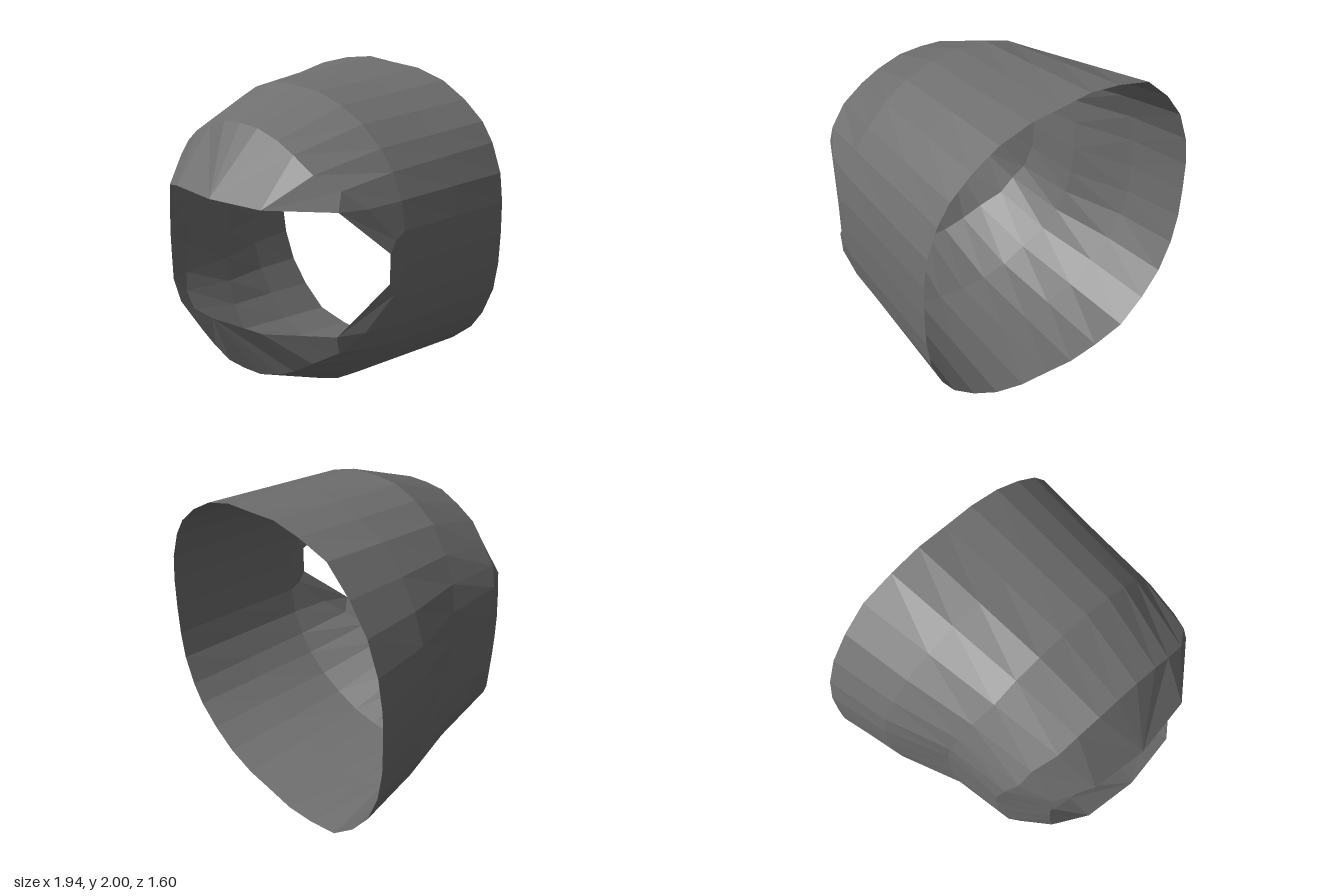
import * as THREE from 'three';

// Upper half of each cross-section as [x, y, z], from the model's right side over the top to its left.
// The lower half mirrors it about y = 1.
const backRim = [
  [-0.97, 1], [-0.965, 1.2], [-0.93, 1.4], [-0.85, 1.6], [-0.72, 1.77], [-0.55, 1.92],
  [-0.33, 1.975], [-0.12, 2], [0.08, 1.978], [0.28, 1.96], [0.48, 1.9], [0.65, 1.8],
  [0.79, 1.68], [0.87, 1.56], [0.94, 1.38], [0.965, 1.2], [0.97, 1],
].map(([x, y]) => [x, y, -0.8]);

const shoulder = [
  [-0.725, 1, -0.04], [-0.725, 1.2, -0.03], [-0.71, 1.37, 0], [-0.66, 1.52, 0.03], [-0.57, 1.66, 0.06],
  [-0.43, 1.79, 0.1], [-0.27, 1.88, 0.11], [-0.1, 1.928, 0.12], [0.08, 1.93, 0.12],
  [0.27, 1.91, 0.12], [0.45, 1.85, 0.12], [0.6, 1.76, 0.11], [0.73, 1.64, 0.1],
  [0.82, 1.52, 0.1], [0.89, 1.37, 0.1], [0.92, 1.2, 0.1], [0.925, 1, 0.1],
];

const brow = [
  [-0.69, 1, 0.34], [-0.69, 1.18, 0.35], [-0.66, 1.36, 0.4], [-0.6, 1.46, 0.45], [-0.51, 1.56, 0.465],
  [-0.36, 1.65, 0.52], [-0.22, 1.71, 0.535], [-0.07, 1.755, 0.55], [0.07, 1.76, 0.555],
  [0.22, 1.75, 0.56], [0.38, 1.7, 0.56], [0.5, 1.64, 0.56], [0.64, 1.55, 0.55],
  [0.77, 1.47, 0.47], [0.85, 1.36, 0.34], [0.915, 1.16, 0.17], [0.915, 1, 0.16],
];

// Corners of the opening; each is shared by a number of brow points, so the facets fan out from it.
const openingRim = [
  [-0.52, 1, 0.625, 1], [-0.515, 1.15, 0.625, 1], [-0.5, 1.31, 0.63, 2], [-0.28, 1.365, 0.75, 2],
  [0.07, 1.36, 0.8, 5], [0.45, 1.36, 0.76, 2], [0.78, 1.36, 0.5, 2], [0.91, 1.09, 0.21, 1], [0.91, 1, 0.21, 1],
].flatMap(([x, y, z, count]) => Array.from({ length: count }, () => [x, y, z]));

// Section between back rim and shoulder, swelling outward on the pinched side.
const swell = [0.045, 0.04, 0.035, 0.02, 0.01];
const waist = backRim.map((p, i) => {
  const q = shoulder[i];
  const mid = p.map((v, k) => v + (q[k] - v) * 0.5);
  mid[0] -= swell[i] ?? 0;
  return mid;
});

// Closes a half section into a full loop.
function closeSection(half) {
  const lower = half.slice(1, -1).reverse().map(([x, y, z]) => [x, 2 - y, z]);
  return [...half, ...lower];
}

// Skins a list of loops with outward-facing quads.
function skin(loops) {
  const n = loops[0].length;
  const index = [];
  for (let r = 0; r < loops.length - 1; r++) {
    for (let i = 0; i < n; i++) {
      const j = (i + 1) % n;
      const a = r * n + i, b = r * n + j, c = a + n, d = b + n;
      // The diagonal flips below the middle to keep the halves symmetric.
      if (i < n / 2) index.push(a, c, b, b, c, d);
      else index.push(a, c, d, a, d, b);
    }
  }
  const geometry = new THREE.BufferGeometry();
  geometry.setAttribute('position', new THREE.Float32BufferAttribute(loops.flat(2), 3));
  geometry.setIndex(index);
  geometry.computeVertexNormals();
  return geometry;
}

export function createModel() {
  const group = new THREE.Group();
  group.name = 'openShell';
  const material = new THREE.MeshStandardMaterial({
    color: 0x6f6f6f, flatShading: true, side: THREE.DoubleSide,
  });

  // Body, open at the back, running forward to the shoulder
  const body = new THREE.Mesh(skin([backRim, waist, shoulder].map(closeSection)), material);
  body.name = 'shellBody';

  // Tapered front with the wide opening and its notch on one side
  const front = new THREE.Mesh(skin([shoulder, brow, openingRim].map(closeSection)), material);
  front.name = 'shellFront';

  group.add(body, front);
  return group;
}
